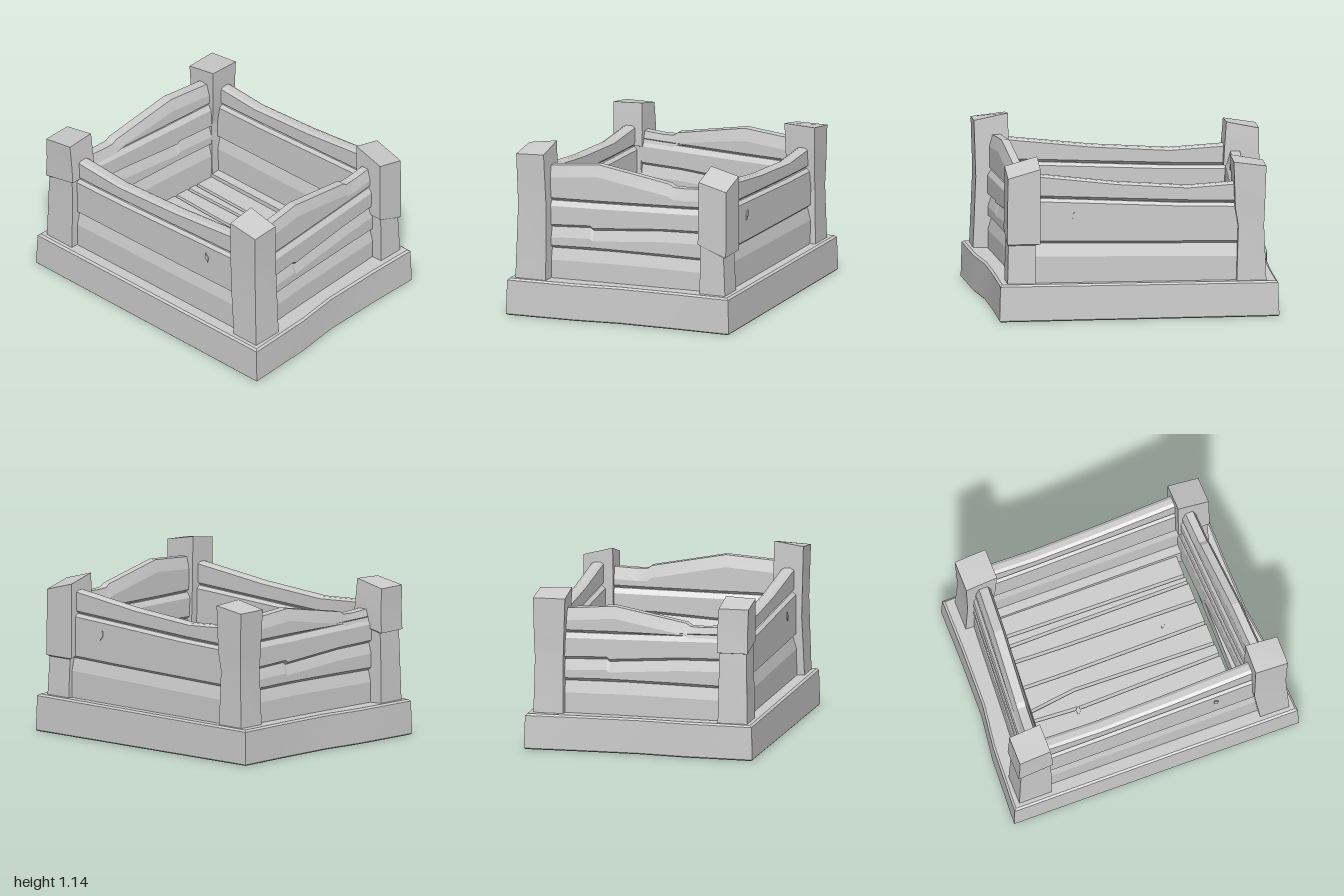
import * as THREE from 'three';
import { toCreasedNormals } from 'three/addons/utils/BufferGeometryUtils.js';

const V = (x, y, z) => new THREE.Vector3(x, y, z);

// Skin a row of equal-sized rings; either capped at the ends or joined into a loop.
function loft(rings, loop = false) {
  const n = rings[0].length, tris = [], last = loop ? rings.length : rings.length - 1;
  for (let i = 0; i < last; i++) {
    const a = rings[i], b = rings[(i + 1) % rings.length];
    for (let j = 0; j < n; j++) {
      const k = (j + 1) % n;
      tris.push([a[j], a[k], b[k]], [a[j], b[k], b[j]]);
    }
  }
  if (!loop) {
    const a = rings[0], b = rings[rings.length - 1];
    for (let j = 1; j < n - 1; j++) tris.push([a[0], a[j + 1], a[j]], [b[0], b[j], b[j + 1]]);
  }
  // Turn the faces outward
  const volume = tris.reduce((s, [a, b, c]) => s + a.dot(b.clone().cross(c)), 0);
  const pos = [];
  for (const [a, b, c] of tris) for (const p of volume < 0 ? [a, c, b] : [a, b, c]) pos.push(p.x, p.y, p.z);
  const g = new THREE.BufferGeometry();
  g.setAttribute('position', new THREE.Float32BufferAttribute(pos, 3));
  return toCreasedNormals(g, 0.18);
}

export function createModel() {
  const model = new THREE.Group();
  const wood = new THREE.MeshStandardMaterial({ color: 0xcccccc });
  wood.name = 'plain wood';
  const add = (name, geometry, parent = model) => {
    const m = new THREE.Mesh(geometry, wood);
    m.name = name;
    parent.add(m);
    return m;
  };

  // Base frame: outline narrowing toward the back, with a bevelled cross-section
  const side = [[1, 0.778], [0.975, 0.3], [0.935, 0], [0.925, -0.4], [0.925, -0.778]];
  const outline = [...side, ...side.map(([x, z]) => [-x, z]).reverse()];
  add('baseFrame', loft(outline.map(([x, z]) => {
    const sx = Math.sign(x), top = 0.242 + 0.006 * x;
    const ix = sx * 0.69, iz = THREE.MathUtils.clamp(z, -0.53, 0.53);
    const inset = (d, y) => V(x - sx * d, y, Math.abs(z) > 0.7 ? z - Math.sign(z) * d : z);
    return [inset(0.008, 0), inset(0, 0.008), inset(0.006, top - 0.012), inset(0.02, top),
      V(ix, top - 0.01, iz), V(ix, 0.07, iz)];
  }), true));

  // Corner posts: sections [x0, x1, z0, z1, heights at (x0z0, x1z0, x1z1, x0z1)]
  const flat = y => [y, y, y, y];
  const posts = {
    frontRightPost: [
      [-0.95, -0.72, 0.53, 0.735, flat(0.1)],
      [-0.935, -0.72, 0.54, 0.725, flat(0.62)],
      [-0.93, -0.725, 0.54, 0.725, [0.7, 0.75, 0.75, 0.7]],
      [-0.952, -0.71, 0.53, 0.735, [0.705, 0.755, 0.755, 0.705]],
      [-0.945, -0.715, 0.53, 0.735, flat(0.85)],
      [-0.945, -0.73, 0.54, 0.74, [1.0, 1.045, 1.035, 1.0]]],
    frontLeftPost: [
      [0.76, 0.955, 0.515, 0.735, flat(0.1)],
      [0.71, 0.93, 0.52, 0.72, [0.64, 0.72, 0.74, 0.64]],
      [0.715, 0.94, 0.535, 0.73, [1.14, 1.095, 1.085, 1.11]]],
    backLeftPost: [
      [0.68, 0.87, -0.735, -0.545, flat(0.1)],
      [0.68, 0.86, -0.715, -0.55, [0.5, 0.5, 0.57, 0.57]],
      [0.65, 0.87, -0.735, -0.535, [0.51, 0.51, 0.58, 0.58]],
      [0.65, 0.865, -0.735, -0.54, [1.01, 0.95, 1.0, 1.06]]],
    backRightPost: [
      [-0.85, -0.645, -0.735, -0.53, flat(0.1)],
      [-0.83, -0.66, -0.725, -0.535, flat(0.6)],
      [-0.835, -0.64, -0.73, -0.53, flat(0.72)],
      [-0.845, -0.63, -0.735, -0.52, [1.0, 1.03, 1.04, 1.0]]],
  };
  for (const [name, sections] of Object.entries(posts)) {
    add(name, loft(sections.map(([x0, x1, z0, z1, y]) =>
      [V(x0, y[0], z0), V(x1, y[1], z0), V(x1, y[2], z1), V(x0, y[3], z1)])));
  }

  // One wall board: stations [u, bottom, top], bevelled above and below on both faces
  const board = (stations, chamfer, d0, d1, place) => loft(stations.map(([u, b, t]) => [
    [d0 + 0.025, b], [d1 - 0.025, b], [d1, b + 0.02], [d1, t - chamfer],
    [d1 - 0.022, t], [d0 + 0.022, t], [d0, t - chamfer], [d0, b + 0.02],
  ].map(([d, y]) => place(u, d, y))));

  // Front and back walls, boards resting on one another
  const longBoards = [
    [[[-0.78, 0.742, 0.89], [-0.36, 0.755, 0.866], [0.15, 0.778, 0.9], [0.78, 0.808, 0.97]], 0.012],
    [[[-0.78, 0.476, 0.744], [-0.3, 0.484, 0.757], [0.3, 0.495, 0.787], [0.78, 0.506, 0.81]], 0.02],
    [[[-0.78, 0.1, 0.478], [-0.2, 0.1, 0.488], [0.78, 0.1, 0.508]], 0.085],
  ];
  // Side walls
  const sideBoards = [
    [[[0.58, 0.762, 0.995], [0.2, 0.768, 1.028], [-0.29, 0.779, 0.94], [-0.32, 0.78, 0.92], [-0.4, 0.782, 0.918], [-0.6, 0.788, 0.93]], 0.08],
    [[[0.58, 0.582, 0.764], [0.25, 0.598, 0.77], [0.23, 0.582, 0.77], [-0.25, 0.618, 0.781], [-0.6, 0.627, 0.79]], 0.035],
    [[[0.58, 0.442, 0.584], [0.25, 0.45, 0.6], [0.23, 0.45, 0.584], [-0.25, 0.448, 0.62], [-0.6, 0.443, 0.629]], 0.07],
    [[[0.58, 0.1, 0.444], [0.1, 0.1, 0.452], [-0.6, 0.1, 0.445]], 0.08],
  ];
  const lowerTop = ([u, b, t]) => [u, b, t > 0.85 ? t - 0.075 : t];
  const walls = [
    ['frontWall', longBoards, 0.57, 0.68, (u, d, y) => V(u, y, d)],
    ['backWall', longBoards, 0.59, 0.695, (u, d, y) => V(u * 0.93, y, -d)],
    ['leftWall', sideBoards, 0.7, 0.82, (u, d, y) => V(d + 0.06 * u, y, u)],
    ['rightWall', sideBoards.map(([s, c]) => [s.map(lowerTop), c]), 0.69, 0.82,
      (u, d, y) => V(-d + 0.06 * u, y, -u)],
  ];
  for (const [name, boards, d0, d1, place] of walls) {
    const wall = new THREE.Group();
    wall.name = name;
    model.add(wall);
    boards.forEach(([stations, chamfer], i) => {
      const thin = i === 0 ? 0.012 : 0;
      add('wallBoard' + (i + 1), board(stations, chamfer, d0 + thin, d1 - thin, place), wall);
    });
  }

  // Floor boards meeting at bevelled seams, each seam given as z at three points along x
  const seams = [[-0.6, -0.6, -0.6], [-0.4, -0.395, -0.385], [-0.325, -0.33, -0.335], [-0.215, -0.205, -0.195],
    [-0.025, -0.02, -0.03], [0.155, 0.105, 0.125], [0.215, 0.235, 0.21], [0.425, 0.43, 0.45], [0.6, 0.6, 0.6]];
  const floor = new THREE.Group();
  floor.name = 'floor';
  model.add(floor);
  for (let i = 0; i < seams.length - 1; i++) {
    const xs = [-0.7, -0.32, 0.635 + 0.004 * i];
    add('floorBoard' + (i + 1), loft(xs.map((x, k) => {
      const z0 = seams[i][k], z1 = seams[i + 1][k];
      return [V(x, 0.13, z0 + 0.01), V(x, 0.165, z0), V(x, 0.2, z0 + 0.012),
        V(x, 0.2, z1 - 0.01), V(x, 0.165, z1), V(x, 0.13, z1 - 0.01)];
    })), floor);
  }

  // Small diamond-shaped splinters on the boards
  const chip = new THREE.CylinderGeometry(0.035, 0.035, 0.008, 4).toNonIndexed();
  chip.computeVertexNormals();
  chip.scale(0.45, 1, 1);
  for (const [x, z] of [[0.38, -0.12], [-0.35, 0.25], [0.25, 0.46]]) {
    const c = add('floorSplinter', chip, floor);
    c.position.set(x, 0.202, z);
    c.rotation.y = -0.3;
  }
  for (const [x, z] of [[0.455, 0.682], [0.42, -0.697]]) {
    const c = add('wallSplinter', chip);
    c.position.set(x, 0.69, z);
    c.rotation.set(Math.PI / 2, 0.3, 0);
  }
  return model;
}
